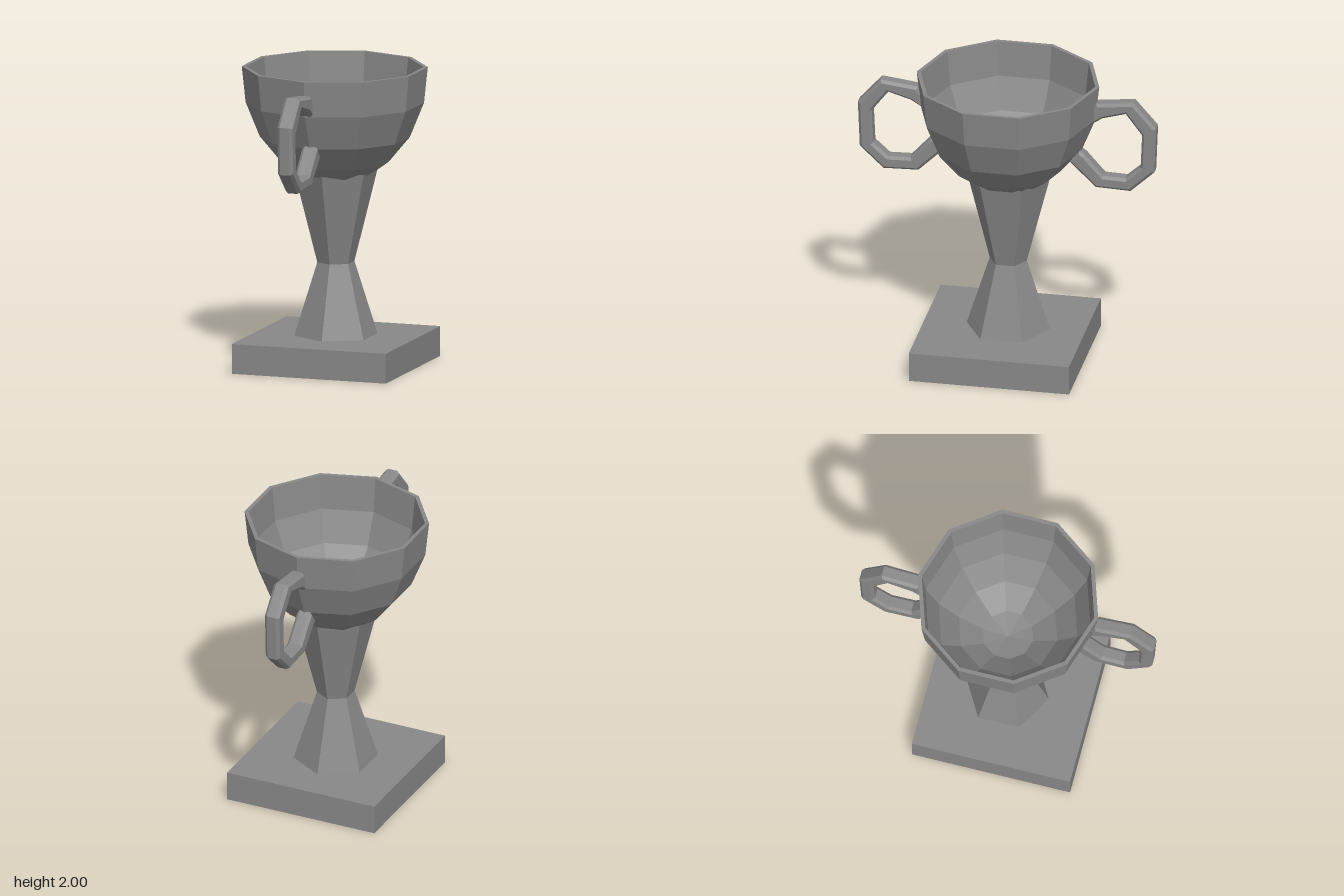
import * as THREE from 'three';

const rad = THREE.MathUtils.degToRad;
const material = new THREE.MeshStandardMaterial({ color: 0x888888, flatShading: true, side: THREE.DoubleSide });

// Faceted solid of revolution from [radius, y] pairs
function turned(name, profile, sides, startDeg, x, z) {
  const points = profile.map(([r, y]) => new THREE.Vector2(r, y));
  const mesh = new THREE.Mesh(new THREE.LatheGeometry(points, sides, rad(startDeg)), material);
  mesh.name = name;
  mesh.position.set(x, 0, z);
  return mesh;
}

// Chamfered handle, drawn outward along +x from the cup axis
function handleGeometry() {
  const outer = [
    [0.57, 1.84], [0.6, 1.89], [0.852, 1.92], [1.005, 1.745], [0.992, 1.425],
    [0.832, 1.275], [0.597, 1.283], [0.42, 1.455],
  ];
  const inner = [
    [0.485, 1.54], [0.525, 1.51], [0.65, 1.37], [0.8, 1.365], [0.9, 1.455],
    [0.91, 1.69], [0.8, 1.835], [0.645, 1.79], [0.575, 1.745],
  ];
  const shape = new THREE.Shape([...outer, ...inner].map(([x, y]) => new THREE.Vector2(x, y)));
  const geometry = new THREE.ExtrudeGeometry(shape, {
    depth: 0.066, bevelEnabled: true, bevelSegments: 1,
    bevelThickness: 0.02, bevelSize: 0.018, bevelOffset: -0.018,
  });
  return geometry.translate(0, 0, -0.033);
}

export function createModel() {
  const group = new THREE.Group();
  group.name = 'trophyCup';

  // Square plinth, hollow underneath
  group.add(turned('base', [[0.763, 0], [0.763, 0.2], [0, 0.2]], 4, 63, -0.013, 0));

  // Six-sided waisted stem, open where it meets the bowl
  group.add(turned('stem', [[0, 0.185], [0.28, 0.185], [0.28, 0.2], [0.125, 0.69], [0.282, 1.31]], 6, -12, 0.005, -0.015));

  // Ten-sided bowl: outer wall, rim, inner wall
  group.add(turned('bowl', [
    [0, 1.2], [0.17, 1.23], [0.355, 1.36], [0.497, 1.53], [0.59, 1.76], [0.615, 2],
    [0.588, 2], [0.563, 1.76], [0.473, 1.55], [0.335, 1.385], [0.17, 1.265], [0, 1.235],
  ], 10, 0, 0, -0.02));

  // Pair of handles on opposite corners of the bowl
  const geometry = handleGeometry();
  for (const [name, turn, lift] of [['leftHandle', 18, 0], ['rightHandle', 198, 0.015]]) {
    const handle = new THREE.Mesh(geometry, material);
    handle.name = name;
    handle.position.set(0, lift, -0.02);
    handle.rotation.y = rad(turn);
    group.add(handle);
  }
  return group;
}
